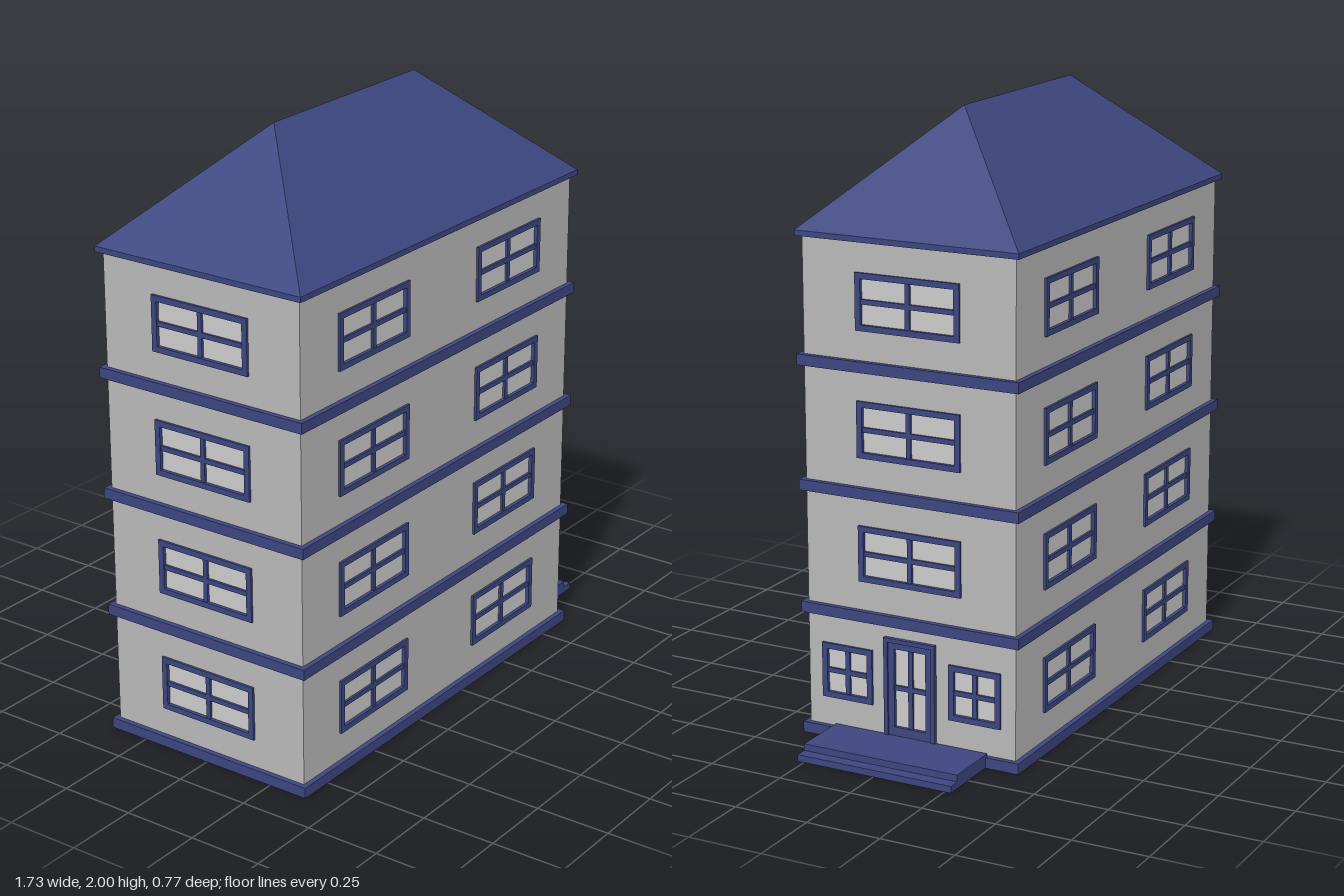
import * as THREE from 'three';

const blue = new THREE.MeshStandardMaterial({ color: 0x3d4680 });
const wallGrey = new THREE.MeshStandardMaterial({ color: 0xb9b9b9 });
const paneGrey = new THREE.MeshStandardMaterial({ color: 0xcccccc });

const CX = -0.115, HX = 0.735, HZ = 0.37; // wall centre and half sizes
const OVER = 0.0175;                      // trim overhang
const WALL = 0.012;                       // wall thickness
const TOP = 1.63;

function box(name, w, h, d, x, y, z, material = blue) {
  const mesh = new THREE.Mesh(new THREE.BoxGeometry(w, h, d), material);
  mesh.name = name;
  mesh.position.set(x, y, z);
  return mesh;
}

function rect(Type, x0, y0, x1, y1) {
  const p = new Type();
  p.moveTo(x0, y0);
  p.lineTo(x1, y0);
  p.lineTo(x1, y1);
  p.lineTo(x0, y1);
  p.closePath();
  return p;
}

// Rectangular plate with rectangular holes, extruded along +z
function plate(name, outer, holes, depth, material) {
  const shape = rect(THREE.Shape, ...outer);
  for (const h of holes) shape.holes.push(rect(THREE.Path, ...h));
  const mesh = new THREE.Mesh(new THREE.ExtrudeGeometry(shape, { depth, bevelEnabled: false }), material);
  mesh.name = name;
  return mesh;
}

// Frame, pane and crossing bars; the wall's outer face is z = 0
function makeWindow({ name, x, y, w, h, frame = 0.019 }) {
  const g = new THREE.Group();
  g.name = name;
  const a = w / 2, b = h / 2;
  const surround = plate('frame', [-a, -b, a, b], [[-a + frame, -b + frame, a - frame, b - frame]], 0.02, blue);
  surround.position.z = -0.012;
  g.add(surround);
  g.add(box('pane', w - frame, h - frame, 0.004, 0, 0, -0.006, paneGrey));
  g.add(box('verticalBar', 0.016, h - frame, 0.008, 0, 0, 0));
  g.add(box('horizontalBar', w - frame, 0.016, 0.008, 0, 0, 0));
  if (name === 'door') {
    // Raised casing round the door leaf
    const casing = plate('casing', [-a, -b, a, b], [[-a + 0.014, -b, a - 0.014, b - 0.014]], 0.006, blue);
    casing.position.z = 0.008;
    g.add(casing);
  }
  g.position.set(x, y, 0);
  return g;
}

// Wall with openings, facing local +z
function makeWall(name, width, openings) {
  const g = new THREE.Group();
  g.name = name;
  const e = 0.006;
  const holes = openings.map(({ x, y, w, h }) =>
    [x - w / 2 + e, y - h / 2 + e, x + w / 2 - e, y + h / 2 - e]);
  const panel = plate('wallPanel', [-width / 2, 0.005, width / 2, TOP], holes, WALL, wallGrey);
  panel.position.z = -WALL;
  g.add(panel);
  for (const o of openings) g.add(makeWindow(o));
  return g;
}

// Hipped roof: four corners and a ridge
function makeRoof() {
  const x0 = CX - HX - OVER, x1 = CX + HX + OVER, z = HZ + OVER, y = 1.64;
  const A = [x0, y, z], B = [x1, y, z], C = [x1, y, -z], D = [x0, y, -z];
  const L = [-0.48, 2, 0], R = [0.255, 2, 0];
  const tris = [A, B, R, A, R, L, B, C, R, C, D, L, C, L, R, D, A, L];
  const geo = new THREE.BufferGeometry();
  geo.setAttribute('position', new THREE.Float32BufferAttribute(tris.flat(), 3));
  geo.computeVertexNormals();
  const mesh = new THREE.Mesh(geo, blue);
  mesh.name = 'hippedRoof';
  return mesh;
}

export function createModel() {
  const model = new THREE.Group();
  model.name = 'building';

  // Window layouts
  const floors = [0.222, 0.628, 1.03, 1.435];
  const win = (x, y) => ({ name: 'window', x, y, w: 0.362, h: 0.182 });
  const longSide = floors.flatMap(y => [win(-0.368, y), win(0.368, y)]);
  const plainEnd = floors.map(y => win(0, y));
  const doorEnd = [
    ...floors.slice(1).map(y => win(0, y)),
    { name: 'door', x: 0, y: 0.203, w: 0.182, h: 0.33, frame: 0.035 },
    ...[-1, 1].map(s => ({ name: 'smallWindow', x: s * 0.228, y: 0.222, w: 0.182, h: 0.182 })),
  ];

  // Four walls round a hollow interior
  const endWidth = 2 * (HZ - WALL);
  const walls = [
    ['frontWall', 2 * HX, longSide, CX, HZ, 0],
    ['backWall', 2 * HX, longSide, CX, -HZ, Math.PI],
    ['entranceWall', endWidth, doorEnd, CX + HX, 0, Math.PI / 2],
    ['plainEndWall', endWidth, plainEnd, CX - HX, 0, -Math.PI / 2],
  ];
  for (const [name, width, openings, x, z, turn] of walls) {
    const wall = makeWall(name, width, openings);
    wall.position.set(x, 0, z);
    wall.rotation.y = turn;
    model.add(wall);
  }

  // Trim rings at the base and between storeys
  const ox = HX + OVER, oz = HZ + OVER, ix = HX - 0.016, iz = HZ - 0.016;
  for (const y of [0, 0.407, 0.81, 1.214]) {
    const ring = plate(y ? 'storeyBand' : 'baseBand', [-ox, -oz, ox, oz], [[-ix, -iz, ix, iz]], 0.035, blue);
    ring.rotation.x = -Math.PI / 2;
    ring.position.set(CX, y, 0);
    model.add(ring);
  }

  // Eaves and roof
  model.add(box('eaves', 2 * ox, 0.018, 2 * oz, CX, 1.631, 0));
  model.add(makeRoof());

  // Entrance steps
  model.add(box('lowerStep', 0.235, 0.022, 0.546, 0.7425, 0.011, 0));
  model.add(box('upperStep', 0.195, 0.022, 0.546, 0.7225, 0.033, 0));
  return model;
}
